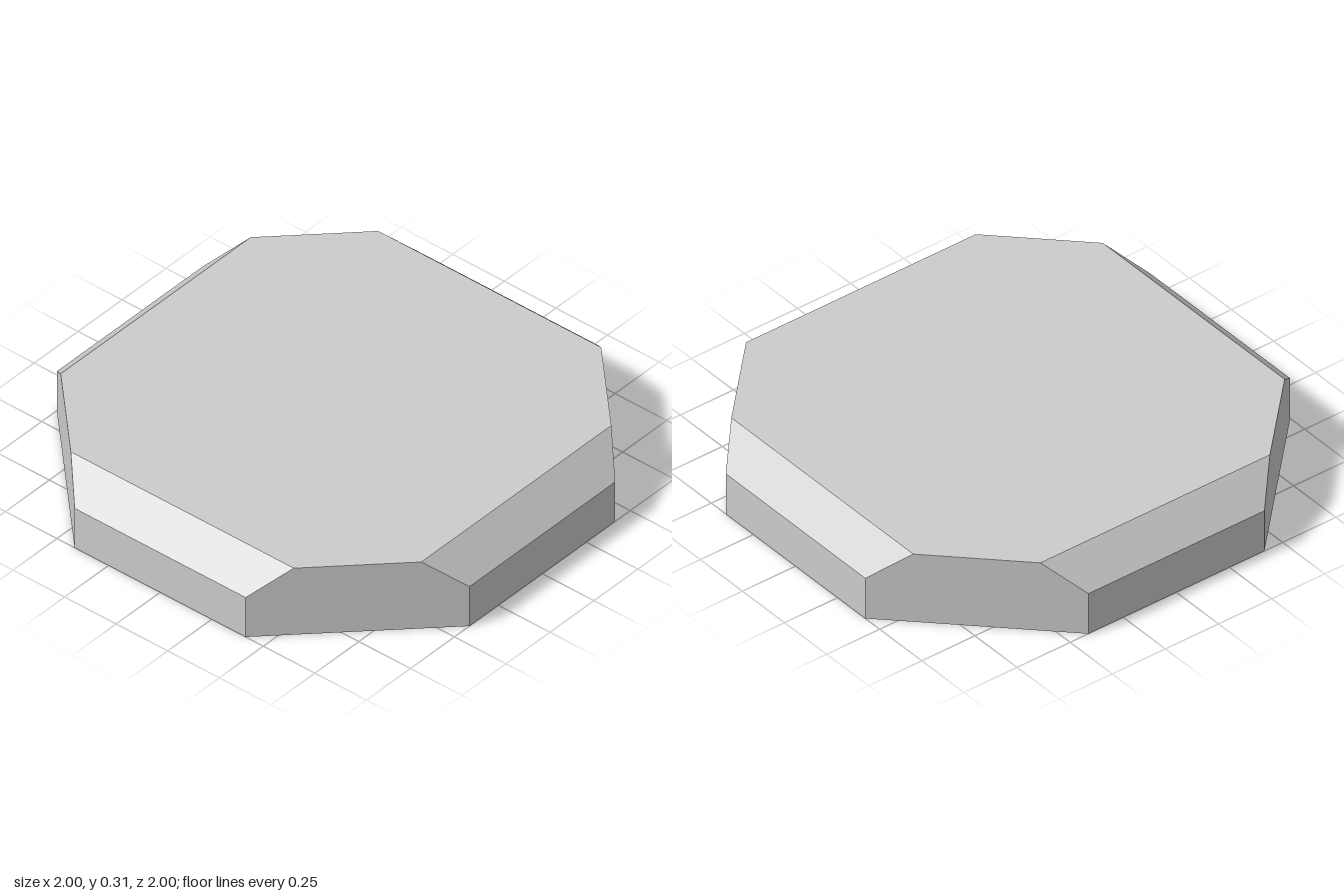
import * as THREE from 'three';

const APOTHEM = 1;
const HEIGHT = 0.31;
const BEVEL = 0.126;
const HALF_SIDE = Math.SQRT2 - 1;

// Octagon corners at height y, anticlockwise from above. Moving the four
// straight sides in by "inset" lengthens them along the fixed diagonal sides.
function octagonLoop(y, inset) {
  const d = APOTHEM - inset;
  const h = HALF_SIDE + inset;
  const loop = [];
  for (let k = 0; k < 4; k++) {
    for (const s of [-h, h]) {
      let x = s, z = d;
      for (let turn = 0; turn < k; turn++) [x, z] = [z, -x];
      loop.push([x, y, z]);
    }
  }
  return loop;
}

// Closed, flat-faced solid through a stack of loops
function loftGeometry(loops) {
  const positions = [];
  const triangle = (a, b, c) => positions.push(...a, ...b, ...c);
  const n = loops[0].length;
  for (let l = 0; l < loops.length - 1; l++) {
    const low = loops[l], high = loops[l + 1];
    for (let i = 0; i < n; i++) {
      const j = (i + 1) % n;
      triangle(low[i], low[j], high[j]);
      triangle(low[i], high[j], high[i]);
    }
  }
  // Bottom and top caps
  const bottom = loops[0], top = loops[loops.length - 1];
  for (let i = 1; i < n - 1; i++) {
    triangle(bottom[0], bottom[i + 1], bottom[i]);
    triangle(top[0], top[i], top[i + 1]);
  }
  const geometry = new THREE.BufferGeometry();
  geometry.setAttribute('position', new THREE.Float32BufferAttribute(positions, 3));
  geometry.computeVertexNormals();
  return geometry;
}

export function createModel() {
  const group = new THREE.Group();
  group.name = 'octagonalSlab';

  // Upright rim with four bevelled sides and four plain diagonal sides
  const slab = new THREE.Mesh(
    loftGeometry([
      octagonLoop(0, 0),
      octagonLoop(HEIGHT - BEVEL, 0),
      octagonLoop(HEIGHT, BEVEL),
    ]),
    new THREE.MeshStandardMaterial({ color: 0xcccccc, flatShading: true })
  );
  slab.name = 'bevelledSlab';
  group.add(slab);

  return group;
}
